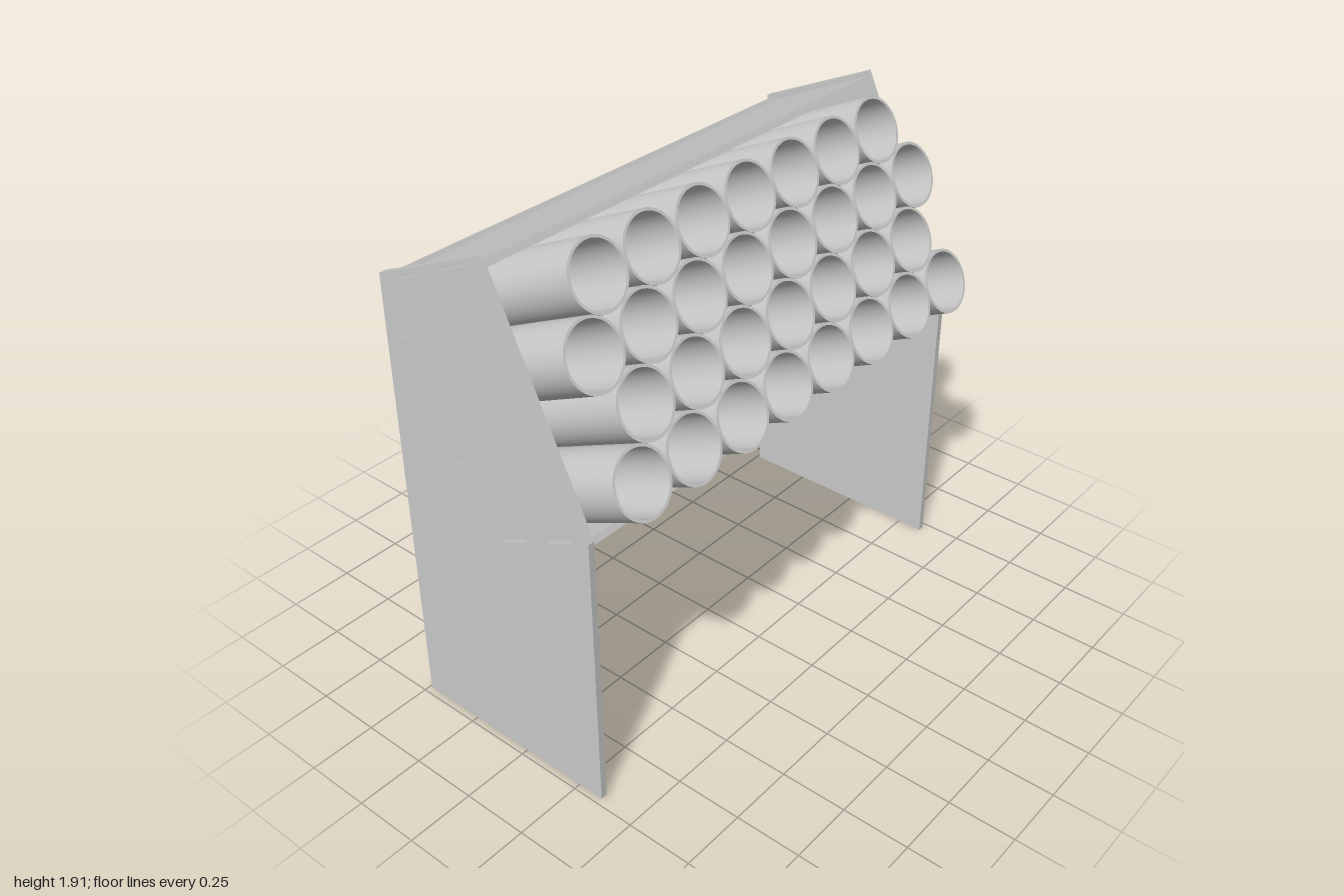
import * as THREE from 'three';
import { toCreasedNormals } from 'three/addons/utils/BufferGeometryUtils.js';

const TILT = -0.439;       // lean of the rack, about 25 degrees
const BOARD = 0.025;       // board thickness
const INNER = 0.95;        // half width between the side boards
const material = new THREE.MeshStandardMaterial({ color: 0xcccccc });

function add(parent, name, geometry, x = 0, y = 0, z = 0) {
  const mesh = new THREE.Mesh(geometry, material);
  mesh.name = name;
  mesh.position.set(x, y, z);
  parent.add(mesh);
  return mesh;
}

const box = (w, h, d) => new THREE.BoxGeometry(w, h, d);

// Side board outline, drawn as (z, y) and extruded along x
function sideGeometry() {
  const outline = [[0.35, 0], [0.35, 1.06], [-0.04, 1.89], [-0.49, 1.69], [-0.49, 0]];
  const shape = new THREE.Shape(outline.map(([z, y]) => new THREE.Vector2(-z, y)));
  const geometry = new THREE.ExtrudeGeometry(shape, { depth: BOARD, bevelEnabled: false });
  return geometry.translate(0, 0, -BOARD / 2).rotateY(Math.PI / 2);
}

// Hollow tube running along z, open at both ends
function tubeGeometry(radius, wall, length) {
  const ring = new THREE.Shape().absarc(0, 0, radius, 0, Math.PI * 2);
  ring.holes.push(new THREE.Path().absarc(0, 0, radius - wall, 0, Math.PI * 2, true));
  const geometry = new THREE.ExtrudeGeometry(ring, { depth: length, bevelEnabled: false, curveSegments: 24 });
  return toCreasedNormals(geometry, 0.6);
}

export function createModel() {
  const model = new THREE.Group();
  model.name = 'tubeRack';

  // Upright side boards, which are also the legs
  const side = sideGeometry();
  add(model, 'rightSide', side, -INNER - BOARD / 2);
  add(model, 'leftSide', side, INNER + BOARD / 2);

  // Tilted rack: local y runs up the lean, local z runs out of the tube mouths
  const rack = new THREE.Group();
  rack.name = 'tiltedRack';
  rack.rotation.x = TILT;
  model.add(rack);

  const back = 0.299, front = 0.767, bottom = 0.813, top = 1.699;
  const backFace = back + BOARD / 2;
  add(rack, 'backBoard', box(INNER * 2, 0.94, BOARD), 0, 1.256, back);
  for (const [name, y] of [['bottomBoard', bottom], ['topBoard', top]]) {
    add(rack, name, box(INNER * 2, BOARD, front - backFace), 0, y, (front + backFace) / 2);
    // Tabs that pass through the back board
    for (let i = 0; i < 4; i++) {
      add(rack, 'backTab', box(0.105, BOARD, 0.05), -0.71 + i * 0.47, y, back - 0.005);
    }
  }

  // Tabs that pass through the side boards
  const tabWidth = 1 - INNER;
  for (const s of [-1, 1]) {
    const x = s * (INNER + tabWidth / 2);
    for (const y of [bottom, top]) {
      for (const z of [0.428, 0.653]) add(rack, 'sideTab', box(tabWidth, BOARD, 0.115), x, y, z);
    }
    for (const y of [1.043, 1.472]) add(rack, 'sideTab', box(tabWidth, 0.115, BOARD), x, y, back);
  }

  // Staggered rows of eight and seven tubes
  const pitch = 0.235, mouth = 0.932;
  const tube = tubeGeometry(pitch / 2, 0.01, mouth - backFace);
  for (let row = 0; row < 4; row++) {
    const count = row % 2 ? 7 : 8;
    for (let i = 0; i < count; i++) {
      const x = (i - (count - 1) / 2) * pitch - 0.0075;
      add(rack, 'tube', tube, x, 0.943 + row * pitch * 0.866, backFace);
    }
  }
  return model;
}
